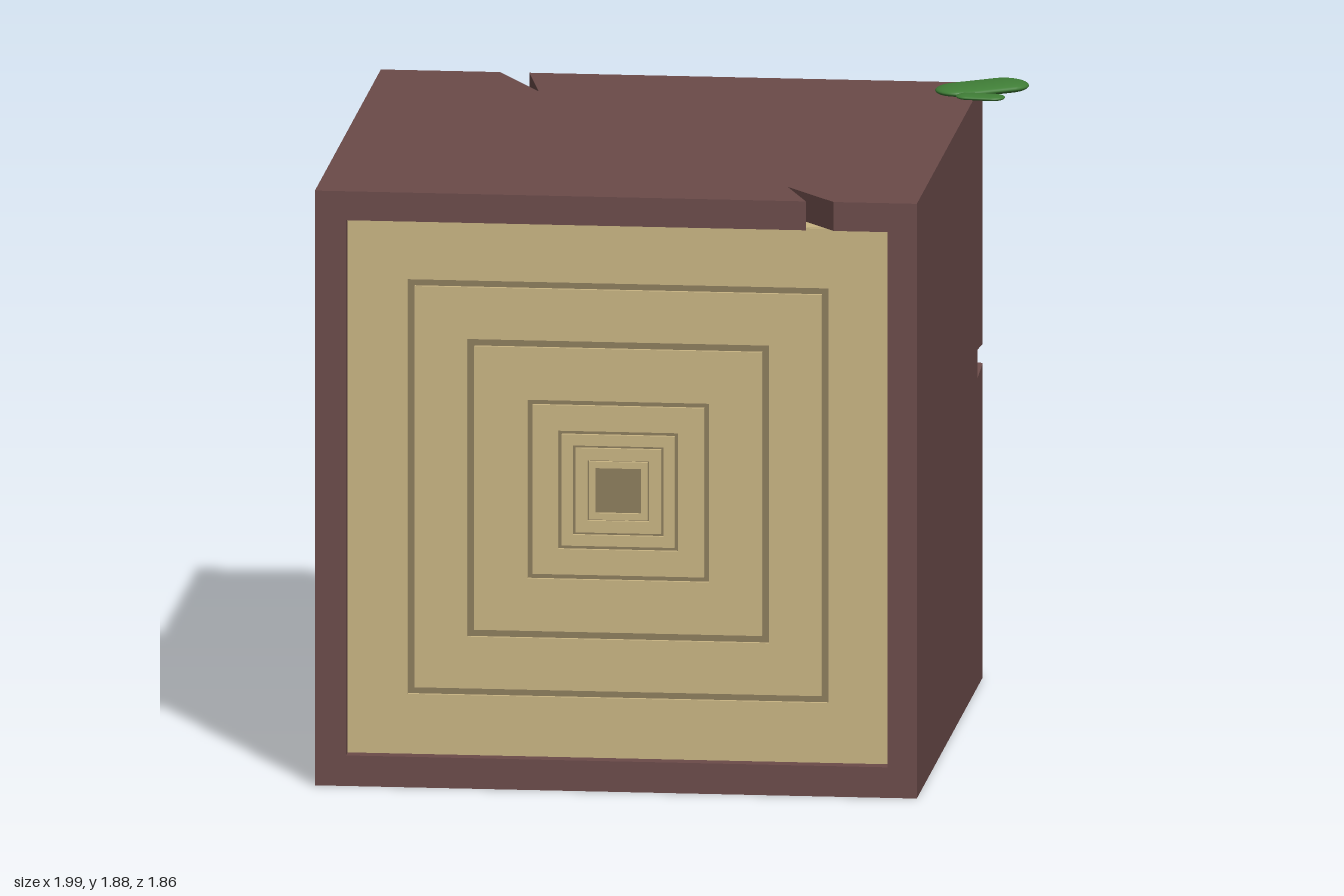
import * as THREE from 'three';
import { ConvexGeometry } from 'three/addons/geometries/ConvexGeometry.js';

const bark = new THREE.MeshStandardMaterial({ color: 0x6b4b49 });
const wood = new THREE.MeshStandardMaterial({ color: 0xc9b583 });
const groove = new THREE.MeshStandardMaterial({ color: 0x8c7d5c });
const moss = new THREE.MeshStandardMaterial({ color: 0x3f7d36 });

// Outer log limits, and the inner opening
const X0 = -1, X1 = 0.845, Y1 = 1.85, Z0 = -0.92, Z1 = 0.925;
const IX0 = -0.905, IX1 = 0.755, IY0 = 0.095, IY1 = 1.76;
const CX = (IX0 + IX1) / 2, CY = (IY0 + IY1) / 2, HALF = 0.831;

function add(parent, name, geometry, material) {
  const mesh = new THREE.Mesh(geometry, material);
  mesh.name = name;
  parent.add(mesh);
  return mesh;
}

function boxBetween(x0, x1, y0, y1, z0, z1) {
  return new THREE.BoxGeometry(x1 - x0, y1 - y0, z1 - z0)
    .translate((x0 + x1) / 2, (y0 + y1) / 2, (z0 + z1) / 2);
}

const hull = (points) => new ConvexGeometry(points.map((p) => new THREE.Vector3(...p)));

function buildBark() {
  const group = new THREE.Group();
  group.name = 'bark';
  add(group, 'barkBottom', boxBetween(X0, X1, 0, IY0, Z0, Z1), bark);
  add(group, 'barkLeftWall', boxBetween(X0, IX0, IY0, IY1, Z0, Z1), bark);

  // Top wall with a pointed split at the front and back edges
  const outline = [
    [X0, Z0], [-0.635, Z0], [-0.485, -0.64], [-0.545, Z0], [X1, Z0],
    [X1, Z1], [0.59, Z1], [0.425, 0.71], [0.505, Z1], [X0, Z1],
  ].map(([x, z]) => new THREE.Vector2(x, z));
  const top = new THREE.ExtrudeGeometry(new THREE.Shape(outline), { depth: Y1 - IY1, bevelEnabled: false });
  add(group, 'barkTop', top.rotateX(Math.PI / 2).translate(0, Y1, 0), bark);

  // Side wall with a tapered chip at its back edge
  const zc = -0.77;
  add(group, 'barkRightWall', boxBetween(IX1, X1, IY0, IY1, zc, Z1), bark);
  const chip = [
    { name: 'barkAboveChip', end: IY1, out: 1.05, outBack: 1.037, inn: 1.04, innBack: 1.022 },
    { name: 'barkBelowChip', end: IY0, out: 0.96, outBack: 0.978, inn: 0.97, innBack: 0.99 },
  ];
  for (const c of chip) {
    add(group, c.name, hull([
      [IX1, c.end, zc], [X1, c.end, zc], [IX1, c.end, Z0], [X1, c.end, Z0],
      [X1, c.out, zc], [X1, c.outBack, Z0], [IX1, c.inn, zc], [IX1, c.innBack, Z0],
    ]), bark);
  }
  add(group, 'chipSlope', hull([0.961, 1.049].flatMap((y) => [
    [X1, y, zc], [IX1, y, zc], [IX1, y, -0.885],
  ])), bark);
  return group;
}

// Square outline centred on zero
function square(half, Type) {
  const p = new Type();
  p.moveTo(-half, -half).lineTo(half, -half).lineTo(half, half).lineTo(-half, half);
  p.closePath();
  return p;
}

function buildWood() {
  const group = new THREE.Group();
  group.name = 'wood';
  const depth = 0.014, zBack = -0.88, zFront = 0.885;
  add(group, 'woodCore', boxBetween(IX0, IX1, IY0, IY1, zBack + depth, zFront - depth), wood);

  // Raised square frames; the gaps between them are the growth rings
  const frames = [
    [HALF, 0.645], [0.624, 0.463], [0.441, 0.278], [0.263, 0.184],
    [0.173, 0.139], [0.131, 0.094], [0.09, 0.07],
  ];
  for (const front of [true, false]) {
    const face = new THREE.Group();
    face.name = front ? 'frontRings' : 'backRings';
    face.position.set(CX, CY, front ? zFront - depth : zBack + depth);
    if (!front) face.rotation.y = Math.PI;
    add(face, 'ringGrooves', new THREE.PlaneGeometry(1.4, 1.4).translate(0, 0, 0.001), groove);
    for (const [outer, inner] of frames) {
      const shape = square(outer, THREE.Shape);
      shape.holes.push(square(inner, THREE.Path));
      add(face, 'woodRing', new THREE.ExtrudeGeometry(shape, { depth, bevelEnabled: false }), wood);
    }
    group.add(face);
  }
  return group;
}

// Flattened capsule lying on the top
function mossPad(name, length, radius, thickness, angle, x, y, z) {
  const g = new THREE.CapsuleGeometry(radius, length, 10, 28)
    .rotateZ(Math.PI / 2)
    .scale(1, thickness / (2 * radius), 1)
    .rotateY(angle)
    .translate(x, y, z);
  return new THREE.Mesh(g, moss).add().translateX(0), Object.assign(new THREE.Mesh(g, moss), { name });
}

export function createModel() {
  const model = new THREE.Group();
  model.name = 'squareLog';
  model.add(buildBark(), buildWood());
  model.add(mossPad('largeMoss', 0.15, 0.077, 0.037, 0.6, 0.855, 1.857, -0.811));
  model.add(mossPad('smallMoss', 0.078, 0.037, 0.018, -0.12, 0.865, 1.857, -0.673));
  return model;
}
